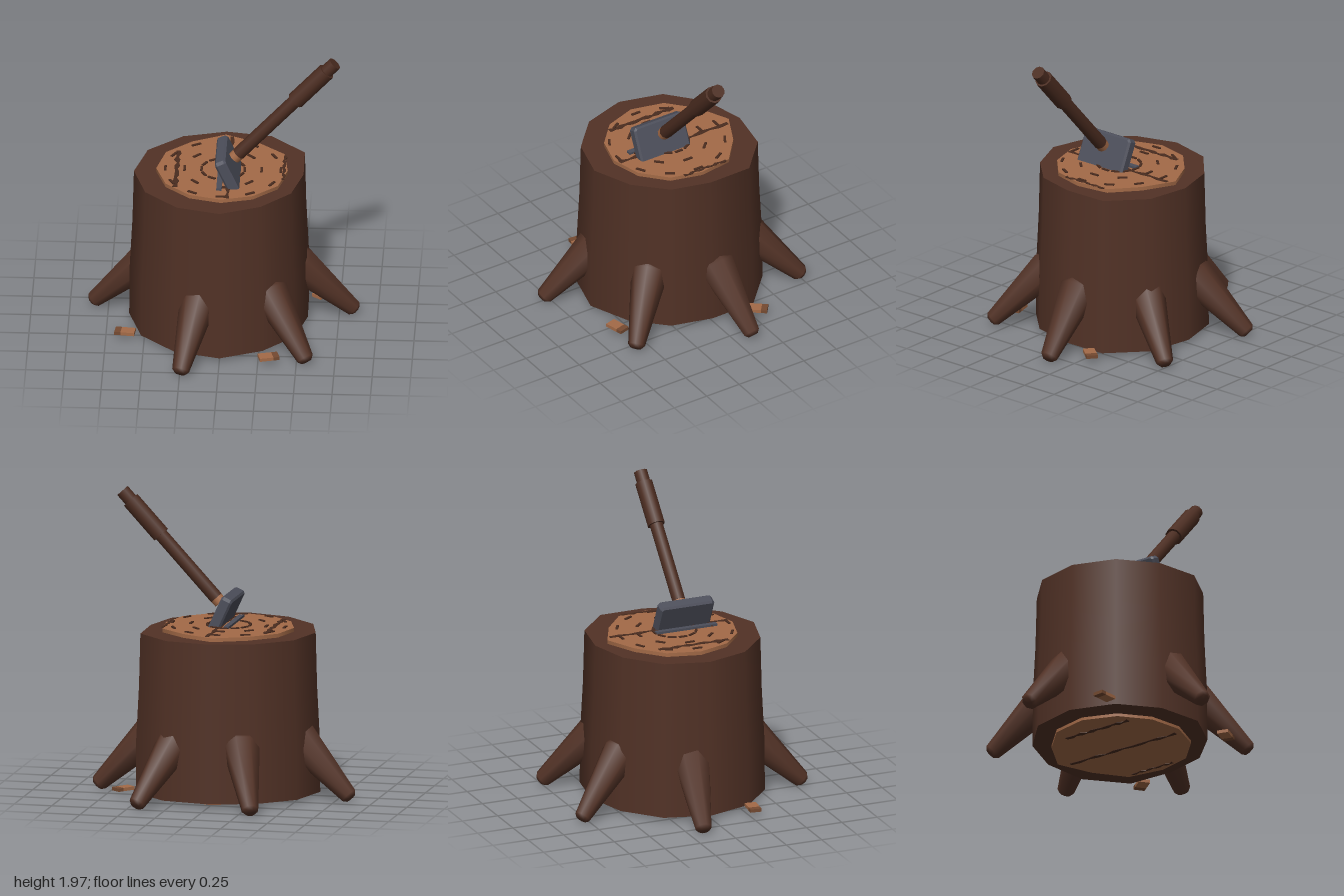
import * as THREE from 'three';

export function createModel() {
  const model = new THREE.Group();
  const material = (name, color) => {
    const m = new THREE.MeshStandardMaterial({ color });
    m.name = name;
    return m;
  };
  const bark = material('bark', 0x523226);
  const wood = material('cut wood', 0xa36a47);
  const dark = material('dark grain', 0x4a2c1f);
  const chipDark = material('chip shade', 0x754a31);
  const steel = material('steel', 0x4c4e5a);
  const handleWood = material('handle wood', 0x4b2c20);

  const add = (name, geometry, mat, parent = model) => {
    const mesh = new THREE.Mesh(geometry, mat);
    mesh.name = name;
    parent.add(mesh);
    return mesh;
  };

  // Twelve-sided uneven column; radii start at +z and run towards +x
  const column = (radii, y0, y1, scales) => {
    const rows = scales.length - 1;
    const g = new THREE.CylinderGeometry(1, 1, y1 - y0, 12, rows);
    g.translate(0, (y0 + y1) / 2, 0);
    const p = g.attributes.position;
    for (let i = 0; i < p.count; i++) {
      const x = p.getX(i), z = p.getZ(i);
      if (Math.hypot(x, z) < 0.5) continue;
      const k = (Math.round(Math.atan2(x, z) / (Math.PI / 6)) + 12) % 12;
      const row = Math.round((p.getY(i) - y0) / (y1 - y0) * rows);
      const r = radii[k] * scales[row];
      p.setXYZ(i, x * r, p.getY(i), z * r);
    }
    return g;
  };

  // Trunk and its two cut faces
  const trunkRadii = [0.59, 0.55, 0.55, 0.55, 0.63, 0.62, 0.59, 0.59, 0.61, 0.61, 0.6, 0.59];
  const cutRadii = [0.41, 0.41, 0.42, 0.42, 0.45, 0.43, 0.475, 0.43, 0.44, 0.435, 0.42, 0.41];
  add('trunk', column(trunkRadii, 0.05, 1.1, [1, 0.995, 0.965, 0.95]), bark);
  add('topCut', column(cutRadii, 1.1, 1.125, [1, 1]), wood);
  add('bottomCut', column(cutRadii, 0.03, 0.05, [1.08, 1.08]), wood);

  // Roots: tapered, sloping radially down to the ground
  const rootTips = [[-0.9, -0.17], [-0.36, -0.85], [0.46, -0.8], [0.9, -0.12], [0.6, 0.64], [-0.26, 0.85]];
  const rootProfile = [[0, 0], [0.036, 0], [0.056, 0.022], [0.125, 0.52], [0.08, 0.6], [0, 0.6]]
    .map(([r, h]) => new THREE.Vector2(r, h));
  const up = new THREE.Vector3(0, 1, 0);
  for (const [x, z] of rootTips) {
    const reach = Math.hypot(x, z);
    const outward = new THREE.Vector3(x / reach, 0, z / reach);
    const root = add('root', new THREE.LatheGeometry(rootProfile, 8), bark);
    root.position.copy(outward).multiplyScalar(reach - 0.045).setY(0.05);
    root.quaternion.setFromUnitVectors(up, outward.clone().negate().setY(0.98).normalize());
  }

  // Growth rings made of thin dashes
  const rings = [[0.14, 12, 0.055], [0.25, 8, 0.065], [0.375, 12, 0.065]];
  for (const [radius, count, length] of rings) {
    for (let i = 0; i < count; i++) {
      const a = i / count * Math.PI * 2;
      const dash = add('ringDash', new THREE.BoxGeometry(length, 0.009, 0.016), dark);
      dash.position.set(Math.sin(a) * radius, 1.1285, Math.cos(a) * radius);
      dash.rotation.y = a;
    }
  }

  // Cracks: ragged strips running front to back on both cut faces
  const crack = (x, z0, z1, width, y) => {
    const left = [], right = [];
    const n = 12;
    for (let i = 0; i <= n; i++) {
      const z = z0 + (z1 - z0) * i / n;
      const c = x + Math.sin(i * 1.9) * 0.005;
      const w = width * (0.65 + 0.35 * Math.sin(i * 2.7));
      left.push(new THREE.Vector2(c - w / 2, -z));
      right.unshift(new THREE.Vector2(c + w / 2, -z));
    }
    const g = new THREE.ExtrudeGeometry(new THREE.Shape([...left, ...right]), { depth: 0.006, bevelEnabled: false });
    g.rotateX(-Math.PI / 2);
    add('crack', g, dark).position.y = y;
  };
  for (const y of [1.123, 0.026]) {
    crack(0.04, -0.44, 0.39, 0.036, y);
    crack(-0.3, -0.24, 0.25, 0.04, y);
    crack(0.395, -0.2, 0.12, 0.025, y);
  }

  // Axe head: a bevelled block sunk into the cut
  const axe = new THREE.Group();
  axe.name = 'axe';
  model.add(axe);
  const headShape = new THREE.Shape();
  const hw = 0.19, hh = 0.13, c = 0.018;
  [[-hw + c, -hh], [hw - c, -hh], [hw, -hh + c], [hw, hh - c], [hw - c, hh], [-hw + c, hh], [-hw, hh - c], [-hw, -hh + c]]
    .forEach(([x, y], i) => (i ? headShape.lineTo(x, y) : headShape.moveTo(x, y)));
  const headGeometry = new THREE.ExtrudeGeometry(headShape, {
    depth: 0.05, bevelThickness: 0.013, bevelSize: 0.012, bevelOffset: -0.012, bevelSegments: 1
  });
  headGeometry.translate(0, 0, -0.025);
  headGeometry.rotateY(Math.PI / 2);
  const head = add('axeHead', headGeometry, steel, axe);
  head.position.set(0.04, 1.198, 0.078);
  head.rotation.z = 0.43;
  add('bladeEdge', new THREE.BoxGeometry(0.035, 0.02, 0.43), steel, axe).position.set(-0.015, 1.13, 0.075);

  // Axe handle: collar, shaft, grip and end knob along one axis
  const handle = new THREE.Group();
  handle.name = 'axeHandle';
  handle.position.set(0.075, 1.255, 0.075);
  handle.rotation.z = -0.745;
  axe.add(handle);
  const rod = (name, r, from, to, mat) => {
    add(name, new THREE.CylinderGeometry(r, r, to - from, 10), mat, handle).position.y = (from + to) / 2;
  };
  rod('collar', 0.042, 0, 0.06, wood);
  rod('shaft', 0.044, 0.04, 0.65, handleWood);
  rod('grip', 0.058, 0.585, 0.885, handleWood);
  rod('knob', 0.045, 0.87, 0.965, handleWood);

  // Wood chips on the ground, each with a darker end
  const chips = [[-0.625, 0.285, -0.12], [0.635, -0.29, -2.25], [0.32, 0.59, 3.4]];
  for (const [x, z, turn] of chips) {
    const chip = new THREE.Group();
    chip.name = 'woodChip';
    chip.position.set(x, 0.07, z);
    chip.rotation.y = turn;
    model.add(chip);
    add('chipBody', new THREE.BoxGeometry(0.09, 0.022, 0.075), wood, chip).position.x = 0.02;
    add('chipEnd', new THREE.BoxGeometry(0.04, 0.022, 0.075), chipDark, chip).position.x = -0.045;
  }

  return model;
}
